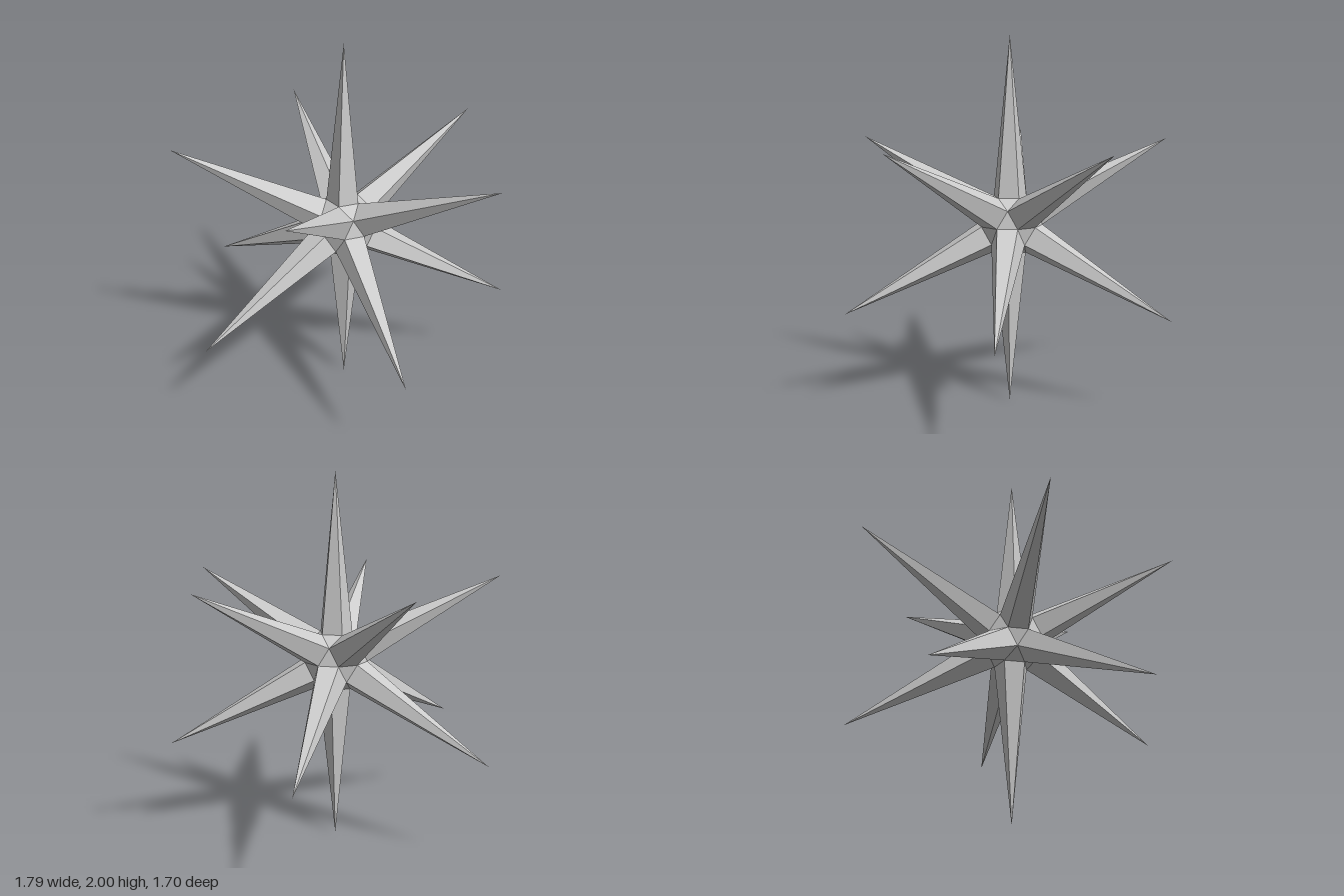
import * as THREE from 'three';
import { ConvexGeometry } from 'three/addons/geometries/ConvexGeometry.js';

const TIP = 1;       // centre to spike tip
const HUB = 0.176;   // centre to hub corner

// Twelve evenly spread directions: two poles and two staggered rings of five
function spikeDirections() {
  const dirs = [new THREE.Vector3(0, 1, 0), new THREE.Vector3(0, -1, 0)];
  const h = 1 / Math.sqrt(5);
  for (let i = 0; i < 5; i++) {
    const a = (i * 2 * Math.PI) / 5;
    const upper = new THREE.Vector3(2 * h * Math.cos(a), h, 2 * h * Math.sin(a));
    dirs.push(upper, upper.clone().negate());
  }
  return dirs;
}

export function createModel() {
  const group = new THREE.Group();
  group.name = 'spikedStar';
  const material = new THREE.MeshStandardMaterial({ color: 0xcccccc, flatShading: true });
  const dirs = spikeDirections();
  const areNeighbours = (a, b) => Math.abs(a.dot(b) - 1 / Math.sqrt(5)) < 0.01;

  // Hub: one corner midway between every pair of neighbouring spikes
  const corners = [];
  dirs.forEach((a, i) => dirs.slice(i + 1).forEach((b) => {
    if (areNeighbours(a, b)) corners.push(a.clone().add(b).setLength(HUB));
  }));
  const hub = new THREE.Mesh(new ConvexGeometry(corners), material);
  hub.name = 'hub';
  hub.position.y = TIP;
  group.add(hub);

  // Spikes: five-sided cones standing on the hub's pentagons
  const halfAngle = Math.atan(2) / 2;
  const base = HUB * Math.cos(halfAngle);
  const spikeGeometry = new THREE.ConeGeometry(HUB * Math.sin(halfAngle), TIP - base, 5, 1, true);
  spikeGeometry.translate(0, (TIP + base) / 2, 0);

  dirs.forEach((dir, i) => {
    // Turn each cone so that its edges meet the hub corners
    const neighbour = dirs.find((d) => areNeighbours(dir, d));
    const z = neighbour.clone().projectOnPlane(dir).normalize();
    const x = new THREE.Vector3().crossVectors(dir, z);
    const spike = new THREE.Mesh(spikeGeometry, material);
    spike.name = `spike${i + 1}`;
    spike.quaternion.setFromRotationMatrix(new THREE.Matrix4().makeBasis(x, dir, z));
    spike.position.y = TIP;
    group.add(spike);
  });

  return group;
}
